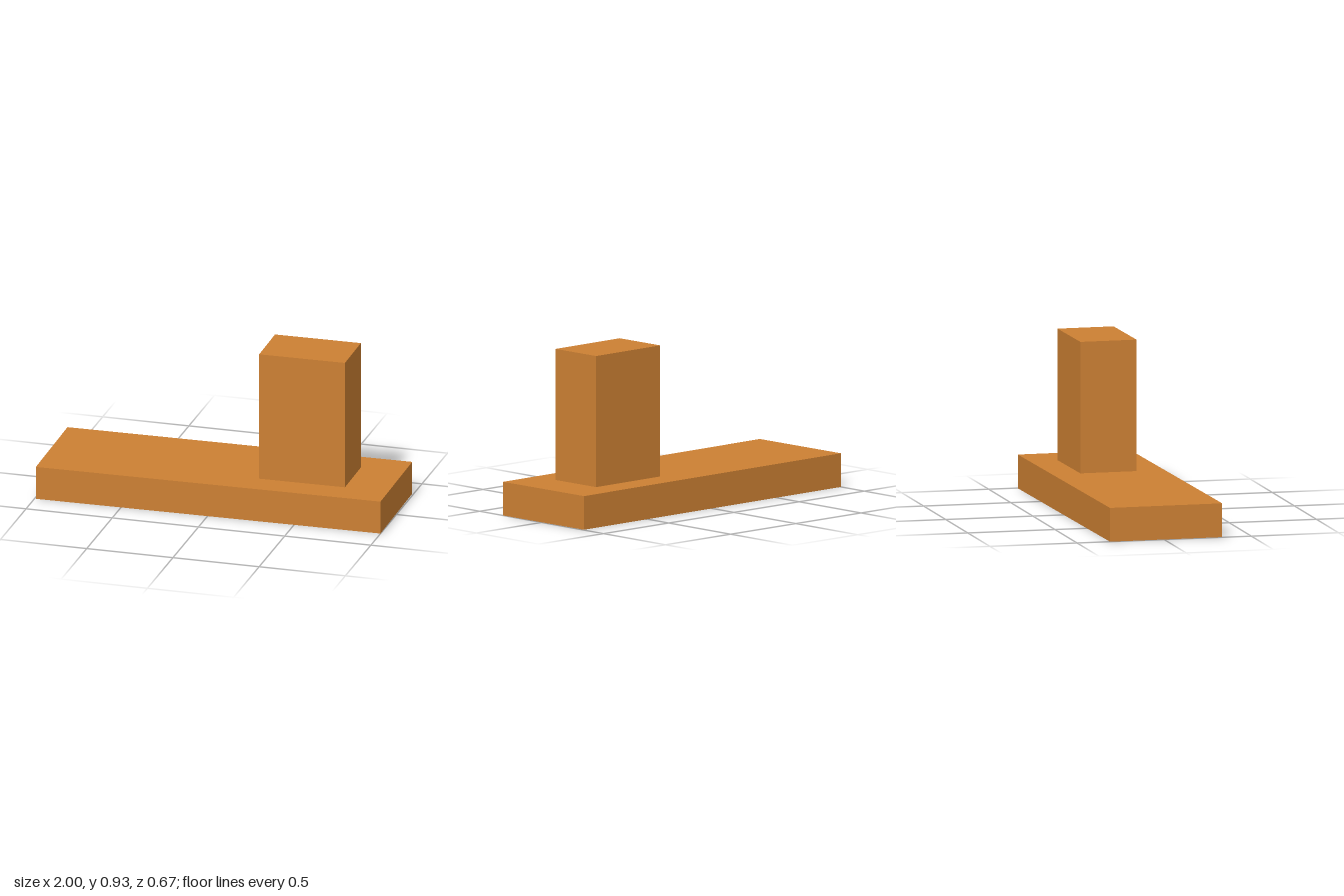
import * as THREE from 'three';

export function createModel() {
  const model = new THREE.Group();
  const material = new THREE.MeshStandardMaterial({ color: 0xcc8033, flatShading: true });

  // Box standing on height y
  const block = (name, w, h, d, x, y) => {
    const mesh = new THREE.Mesh(new THREE.BoxGeometry(w, h, d), material);
    mesh.name = name;
    mesh.position.set(x, y + h / 2, 0);
    model.add(mesh);
  };

  block('base', 1.992, 0.19, 0.646, 0, 0);
  block('tower', 0.496, 0.74, 0.323, 0.497, 0.19);

  // The whole piece is turned very slightly
  model.rotation.y = 0.012;
  const root = new THREE.Group();
  root.add(model);
  return root;
}
